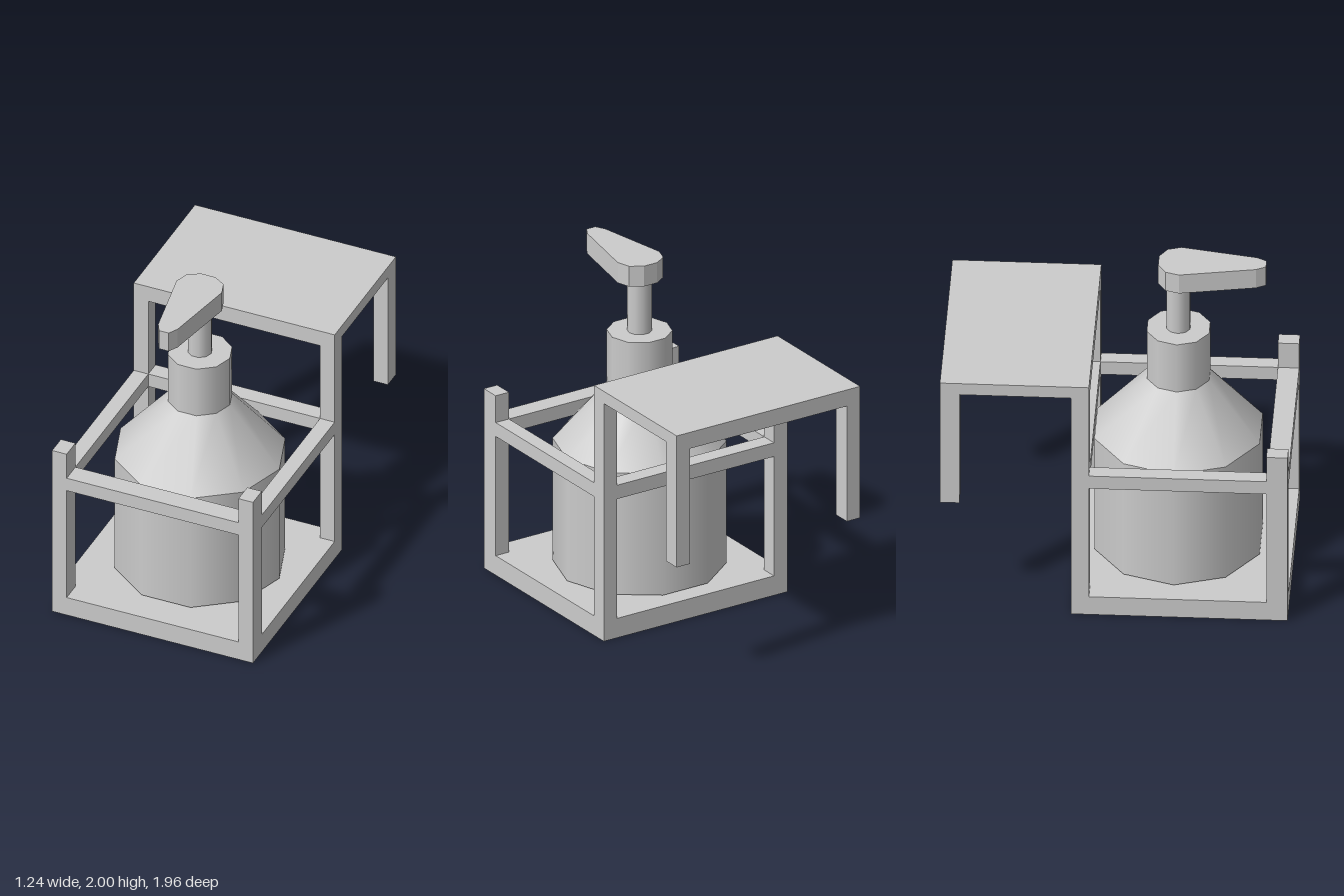
import * as THREE from 'three';

const material = new THREE.MeshStandardMaterial({ color: 0xcccccc });

export function createModel() {
  const model = new THREE.Group();
  const caddy = new THREE.Group();
  caddy.name = 'caddy';
  const bottle = new THREE.Group();
  bottle.name = 'pumpBottle';
  bottle.position.z = 0.33;
  model.add(caddy, bottle);

  const add = (parent, name, geometry) => {
    const mesh = new THREE.Mesh(geometry, material);
    mesh.name = name;
    parent.add(mesh);
  };
  // Box given by its limits on each axis
  const box = (name, x0, x1, y0, y1, z0, z1) => {
    const g = new THREE.BoxGeometry(x1 - x0, y1 - y0, z1 - z0);
    g.translate((x0 + x1) / 2, (y0 + y1) / 2, (z0 + z1) / 2);
    add(caddy, name, g);
  };
  // Bar mirrored to both sides of the caddy
  const IN = 0.53, OUT = 0.62;
  const pair = (name, y0, y1, z0, z1) => {
    box(name + 'Left', IN, OUT, y0, y1, z0, z1);
    box(name + 'Right', -OUT, -IN, y0, y1, z0, z1);
  };

  // Tray, posts and guard rails
  box('base', -OUT, OUT, 0, 0.12, -0.24, 0.98);
  pair('frontPost', 0.12, 1.105, 0.86, 0.98);
  pair('backPost', 0.12, 1.54, -0.24, -0.14);
  pair('sideRail', 0.855, 0.94, -0.14, 0.86);
  box('frontRail', -IN, IN, 0.855, 0.94, 0.86, 0.98);
  box('backRail', -IN, IN, 0.855, 0.94, -0.24, -0.14);

  // Hanging bracket behind the tray
  box('hangerPlate', -OUT, OUT, 1.465, 1.54, -0.87, -0.24);
  box('hangerFrontBeam', -IN, IN, 1.44, 1.54, -0.24, -0.14);
  box('hangerBackBeam', -IN, IN, 1.44, 1.54, -0.98, -0.87);
  pair('hookLeg', 0.73, 1.54, -0.98, -0.87);

  // Ten-sided bottle sections: name, top radius, bottom radius, y limits, open ends
  const sections = [
    ['body', 0.49, 0.49, 0.13, 0.88, false],
    ['shoulder', 0.185, 0.49, 0.88, 1.235, true],
    ['collar', 0.185, 0.185, 1.235, 1.555, false],
    ['pumpStem', 0.07, 0.07, 1.555, 1.875, true],
  ];
  for (const [name, rTop, rBottom, y0, y1, open] of sections) {
    const g = new THREE.CylinderGeometry(rTop, rBottom, y1 - y0, 10, 1, open, Math.PI / 2);
    g.translate(0, (y0 + y1) / 2, 0);
    add(bottle, name, g);
  }

  // Tapered pump head with a forward spout
  const half = [[0.045, -0.112], [0.115, -0.068], [0.14, 0.01], [0.06, 0.44], [0.03, 0.495]];
  const outline = [...half, ...half.map(([x, z]) => [-x, z]).reverse()];
  const shape = new THREE.Shape(outline.map(([x, z]) => new THREE.Vector2(x, z)));
  const head = new THREE.ExtrudeGeometry(shape, { depth: 0.125, bevelEnabled: false });
  head.rotateX(Math.PI / 2);
  head.translate(0, 2, 0);
  add(bottle, 'pumpHead', head);

  return model;
}
